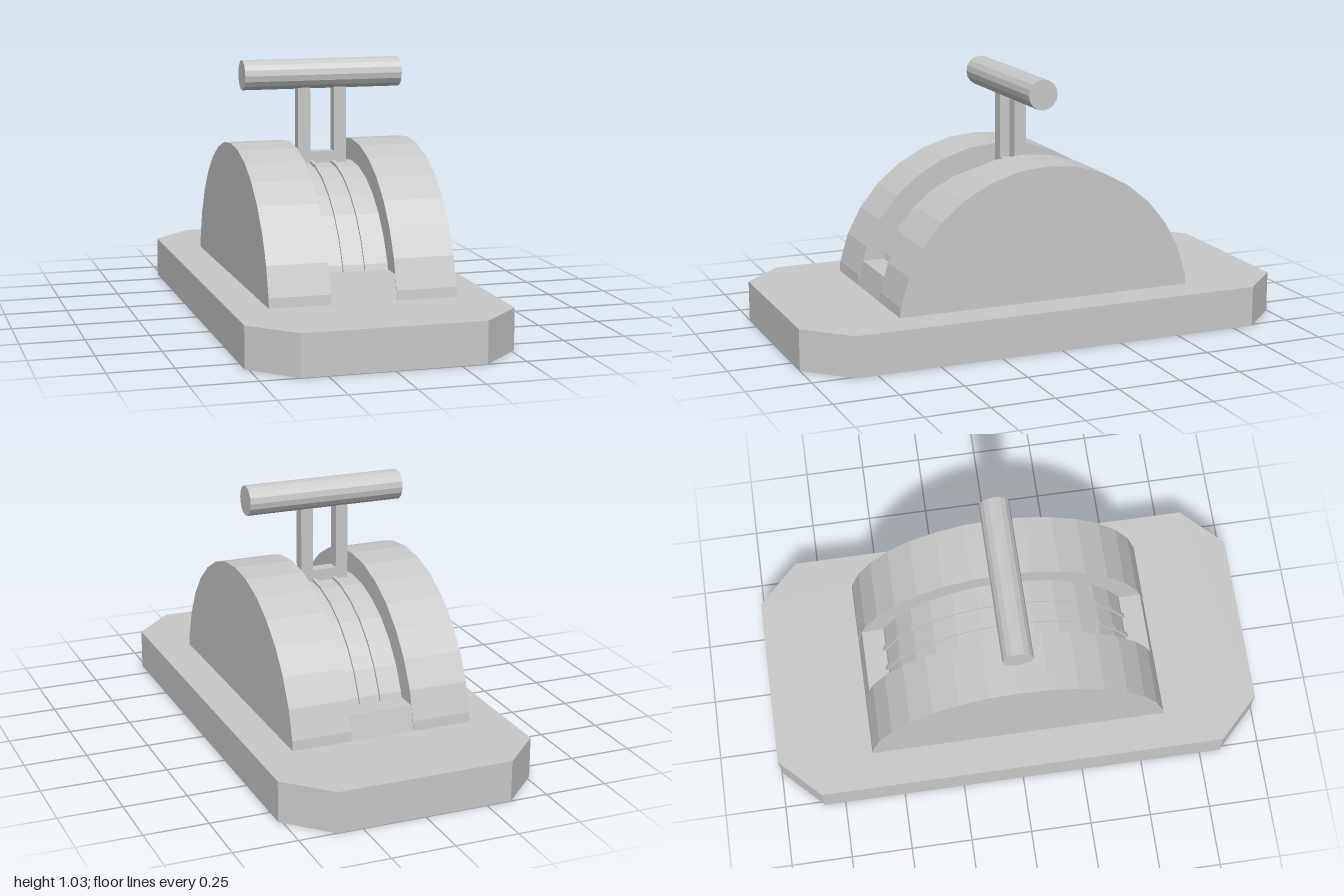
import * as THREE from 'three';

const CENTER_Y = 0.08; // centre height of every arc in the housing
const BASE_TOP = 0.162;
const SLOT_END = 0.26;

// 32-sided arc as [z, y] points, cut off level at height yMin
function arc(radius, yMin) {
  const step = Math.PI / 16;
  const ring = [];
  for (let k = -8; k <= 8; k++) {
    ring.push([radius * Math.sin(k * step), CENTER_Y + radius * Math.cos(k * step)]);
  }
  const points = [];
  ring.forEach((p, i) => {
    const prev = ring[i - 1];
    if (prev && (prev[1] < yMin) !== (p[1] < yMin)) {
      const t = (yMin - prev[1]) / (p[1] - prev[1]);
      points.push([prev[0] + t * (p[0] - prev[0]), yMin]);
    }
    if (p[1] >= yMin) points.push(p);
  });
  return points;
}

function shapeOf(points) {
  return new THREE.Shape(points.map(([a, b]) => new THREE.Vector2(a, b)));
}

export function createModel() {
  const model = new THREE.Group();
  model.name = 'leverControl';
  const grey = new THREE.MeshStandardMaterial({ color: 0xc8c8c8, flatShading: true });
  grey.name = 'light grey';

  function add(name, geometry) {
    const mesh = new THREE.Mesh(geometry, grey);
    mesh.name = name;
    model.add(mesh);
    return mesh;
  }

  // Extrude a side profile across the width, centred on x
  function addAcross(name, points, width, x) {
    const geometry = new THREE.ExtrudeGeometry(shapeOf(points), { depth: width, bevelEnabled: false });
    geometry.translate(0, 0, -width / 2).rotateY(Math.PI / 2);
    add(name, geometry).position.x = x;
  }

  // Base plate with cut corners
  const plate = shapeOf([
    [-0.35, -1], [0.35, -1], [0.515, -0.835], [0.515, 0.835],
    [0.35, 1], [-0.35, 1], [-0.515, 0.835], [-0.515, -0.835],
  ]);
  add('basePlate', new THREE.ExtrudeGeometry(plate, { depth: BASE_TOP, bevelEnabled: false }).rotateX(-Math.PI / 2));

  // Housing: two round cheeks with a sunken slot between them
  const cheek = arc(0.617, BASE_TOP);
  const outer = arc(0.617, SLOT_END);
  const floor = arc(0.53, SLOT_END);
  const slot = [cheek[0], outer[0], ...floor, outer[outer.length - 1], cheek[cheek.length - 1]];
  addAcross('slotFloor', slot, 0.258, 0);
  for (const [side, name] of [[1, 'left'], [-1, 'right']]) {
    addAcross(name + 'Cheek', cheek, 0.239, side * 0.2485);
    // Thin guide rail following the slot floor
    const rail = [...arc(0.54, SLOT_END), ...arc(0.515, SLOT_END).reverse()];
    addAcross(name + 'GuideRail', rail, 0.016, side * 0.043);
  }

  // U-shaped lever stem
  const stem = shapeOf([
    [-0.099, 0.6], [0.099, 0.6], [0.099, 0.93], [0.049, 0.93],
    [0.049, 0.654], [-0.049, 0.654], [-0.049, 0.93], [-0.099, 0.93],
  ]);
  add('leverStem', new THREE.ExtrudeGeometry(stem, { depth: 0.05, bevelEnabled: false }).translate(0, 0, -0.025));

  // Crosswise grip
  const grip = add('grip', new THREE.CylinderGeometry(0.06, 0.06, 0.644, 16).rotateZ(Math.PI / 2));
  grip.position.y = 0.966;

  return model;
}
